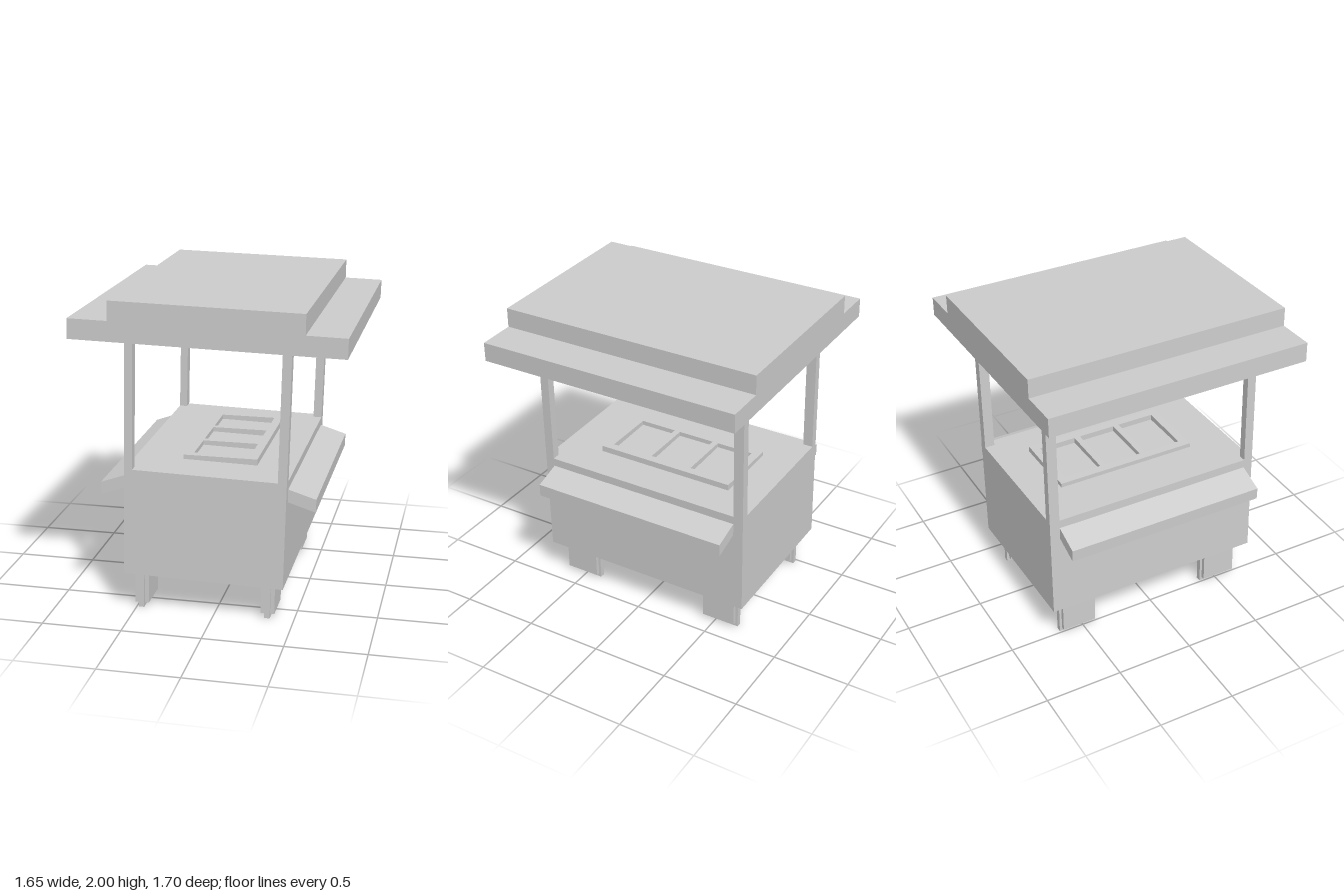
import * as THREE from 'three';

const material = new THREE.MeshStandardMaterial({ color: 0xcccccc, flatShading: true });

// Extrudes a front (x, y) outline from z0 to z1
function slab(name, points, z0, z1) {
  const shape = new THREE.Shape(points.map(([x, y]) => new THREE.Vector2(x, y)));
  const geometry = new THREE.ExtrudeGeometry(shape, { depth: z1 - z0, bevelEnabled: false });
  geometry.translate(0, 0, z0);
  const mesh = new THREE.Mesh(geometry, material);
  mesh.name = name;
  return mesh;
}

function rectPath(PathType, x0, y0, x1, y1) {
  return new PathType([[x0, y0], [x1, y0], [x1, y1], [x0, y1]].map((p) => new THREE.Vector2(...p)));
}

// Slightly leaning upright: bottom-left x, top-left x and width
function leaning(name, xBottom, xTop, width, y0, y1, z0, z1) {
  return slab(name, [[xBottom, y0], [xBottom + width, y0], [xTop + width, y1], [xTop, y1]], z0, z1);
}

// Square wheel: a large thin middle plate between two smaller side plates
function wheel(name, x, z, top) {
  const group = new THREE.Group();
  group.name = name;
  group.add(
    leaning('wheelCore', x - 0.019, x - 0.015, 0.034, 0, top, z - 0.128, z + 0.128),
    leaning('wheelInnerPlate', x - 0.045, x - 0.041, 0.03, 0.024, 0.222, z - 0.112, z + 0.112),
    leaning('wheelOuterPlate', x + 0.011, x + 0.015, 0.03, 0.024, 0.222, z - 0.112, z + 0.112),
  );
  return group;
}

export function createModel() {
  const cart = new THREE.Group();
  cart.name = 'marketCart';

  // Body, leaning a little to one side
  cart.add(slab('body', [[-0.56, 0.25], [0.44, 0.228], [0.458, 0.911], [-0.541, 0.934]], -0.73, 0.71));

  // Stepped roof
  cart.add(slab('roof', [
    [-0.825, 1.762], [0.818, 1.725], [0.821, 1.846], [0.578, 1.852],
    [0.58, 1.975], [-0.576, 2], [-0.579, 1.88], [-0.821, 1.885],
  ], -0.85, 0.85));

  // Corner posts and wheels, front and back
  for (const [end, z0, z1, wheelZ] of [['Front', 0.652, 0.71, 0.518], ['Back', -0.73, -0.665, -0.53]]) {
    cart.add(leaning(`post${end}Right`, -0.542, -0.52, 0.05, 0.92, 1.757, z0, z1));
    cart.add(leaning(`post${end}Left`, 0.403, 0.426, 0.055, 0.9, 1.738, z0, z1));
    cart.add(wheel(`wheel${end}Right`, -0.468, wheelZ, 0.246));
    cart.add(wheel(`wheel${end}Left`, 0.334, wheelZ, 0.23));
  }

  // Sloping side shelves
  cart.add(slab('shelfLeft', [[0.45, 0.777], [0.625, 0.722], [0.627, 0.804], [0.45, 0.859]], -0.665, 0.65));
  cart.add(slab('shelfRight', [[-0.708, 0.74], [-0.535, 0.802], [-0.535, 0.881], [-0.71, 0.818]], -0.665, 0.65));

  // Counter frame with three openings
  const x0 = -0.24, x1 = 0.225, z0 = -0.5, z1 = 0.43, border = 0.055, bar = 0.04;
  const frame = rectPath(THREE.Shape, x0, -z1, x1, -z0);
  const opening = (z1 - z0 - 2 * border - 2 * bar) / 3;
  for (let i = 0; i < 3; i++) {
    const start = -z1 + border + i * (opening + bar);
    frame.holes.push(rectPath(THREE.Path, x0 + border, start, x1 - border, start + opening));
  }
  const frameGeometry = new THREE.ExtrudeGeometry(frame, { depth: 0.05, bevelEnabled: false });
  frameGeometry.rotateX(-Math.PI / 2);
  const counterFrame = new THREE.Mesh(frameGeometry, material);
  counterFrame.name = 'counterFrame';
  counterFrame.position.y = 0.905;
  cart.add(counterFrame);

  return cart;
}
